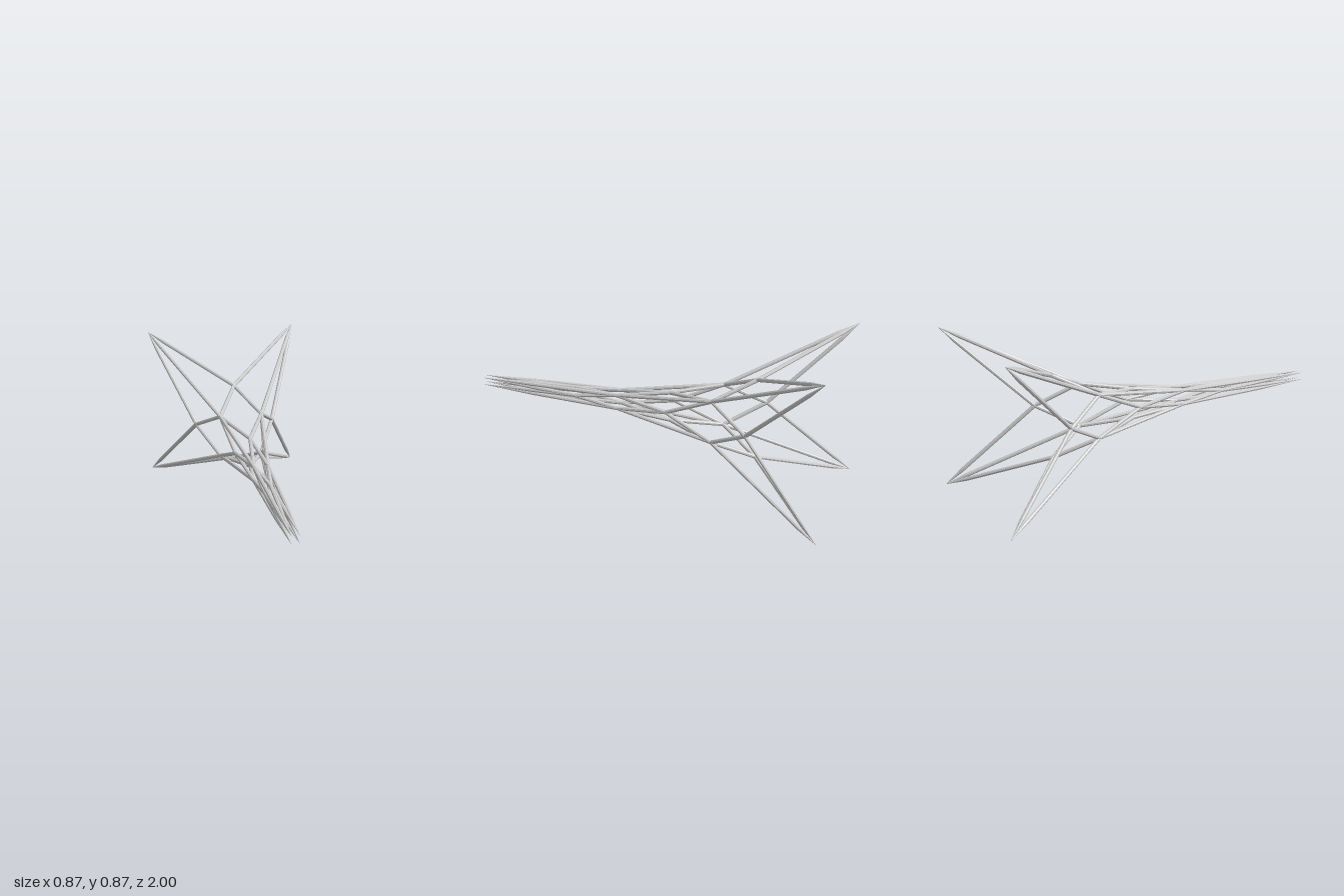
import * as THREE from 'three';

const CENTRE_Y = 0.434, R = 0.0108;
const BACK_TAPER = 0.12, FRONT_TAPER = 0.3;

export function createModel() {
  const group = new THREE.Group();
  const grey = new THREE.MeshStandardMaterial({ color: 0xcccccc });
  grey.name = 'lightGrey';
  grey.flatShading = true;

  // Four nodes of a ring: on the diagonals, or on the axes
  const ring = (r, z, diagonal) => Array.from({ length: 4 }, (_, i) => {
    const a = (i + (diagonal ? 0.5 : 0)) * Math.PI / 2;
    const d = diagonal ? r * Math.SQRT2 : r;
    return new THREE.Vector3(Math.cos(a) * d, CENTRE_Y + Math.sin(a) * d, z);
  });

  // Round bar between two nodes; with a taper it narrows to a point at node a
  function strut(a, b, name, taper) {
    const dir = b.clone().sub(a), len = dir.length();
    dir.normalize();
    const bar = new THREE.Group();
    const body = new THREE.Mesh(new THREE.CylinderGeometry(R, R, len - taper, 8), grey);
    body.position.y = (len + taper) / 2;
    body.name = 'bar';
    bar.add(body);
    if (taper) {
      const tip = new THREE.Mesh(new THREE.CylinderGeometry(R, 0.001, taper, 8), grey);
      tip.position.y = taper / 2;
      tip.name = 'point';
      bar.add(tip);
    }
    bar.position.copy(a);
    bar.quaternion.setFromUnitVectors(new THREE.Vector3(0, 1, 0), dir);
    bar.name = name;
    group.add(bar);
  }

  // Rings from the wide back to the narrow front, alternately diagonal and axial
  const rings = [
    ring(0.433, -1, true), ring(0.221, -0.565, false),
    ring(0.117, -0.355, true), ring(0.08, -0.09, false),
    ring(0.038, 0.2, true), ring(0.032, 0.45, false),
    ring(0.02, 1, true),
  ];

  for (let k = 0; k < 6; k += 2) {
    const [back, mid, front] = rings.slice(k, k + 3);
    const backTaper = k === 0 ? BACK_TAPER : 0;
    const frontTaper = k === 4 ? FRONT_TAPER : 0;
    for (let i = 0; i < 4; i++) {
      // Long bars along the four diagonals
      if (frontTaper) strut(front[i], back[i], 'longStrut', frontTaper);
      else strut(back[i], front[i], 'longStrut', backTaper);
      // Lattice bars to the two neighbouring axial nodes
      for (const j of [i, (i + 1) % 4]) {
        strut(back[i], mid[j], 'latticeStrut', backTaper);
        strut(front[i], mid[j], 'latticeStrut', frontTaper);
      }
    }
  }

  // Joints fill the gaps where bars meet
  for (const nodes of rings.slice(1, 6)) for (const p of nodes) {
    const joint = new THREE.Mesh(new THREE.IcosahedronGeometry(R * 1.05, 1), grey);
    joint.position.copy(p);
    joint.name = 'joint';
    group.add(joint);
  }
  return group;
}
